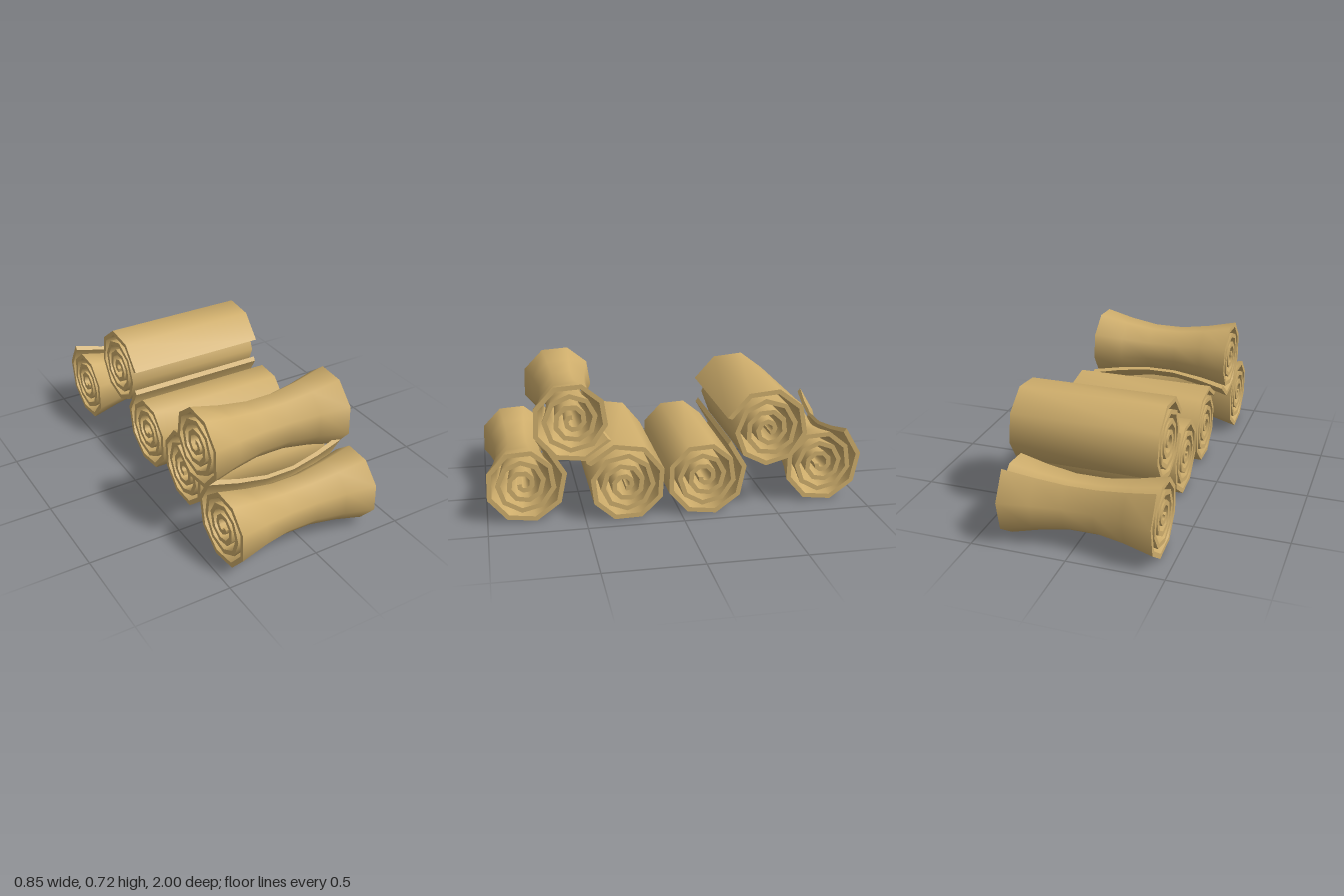
import * as THREE from 'three';
import { mergeGeometries } from 'three/addons/utils/BufferGeometryUtils.js';

const STEPS = 31;            // flat panels along the spiral
const TURNS = 3.65;
const R_OUT = 0.235, R_IN = 0.032, WALL = 0.026;

// Smooth surface through a grid of points f(u, v)
function sheet(nu, nv, f) {
  const pos = [], idx = [];
  for (let u = 0; u < nu; u++) {
    for (let v = 0; v < nv; v++) {
      pos.push(...f(u, v));
      if (u < nu - 1 && v < nv - 1) {
        const a = u * nv + v, b = a + 1, c = a + nv, d = c + 1;
        idx.push(a, b, c, b, d, c);
      }
    }
  }
  const g = new THREE.BufferGeometry();
  g.setAttribute('position', new THREE.Float32BufferAttribute(pos, 3));
  g.setIndex(idx);
  g.computeVertexNormals();
  return g;
}

// Spiral sheet rolled around the x axis; stations are [x, scale] pairs
function rollGeometry(tailDegrees, stations) {
  const n = STEPS + 1, m = stations.length;
  const point = (i, j, inset) => {
    const t = i / STEPS;
    const a = THREE.MathUtils.degToRad(tailDegrees - t * TURNS * 360);
    const [x, s] = stations[j];
    const r = (R_OUT + (R_IN - R_OUT) * t - inset) * s;
    return [x, r * Math.sin(a), -r * Math.cos(a)];
  };
  return mergeGeometries([
    sheet(n, m, (u, v) => point(u, v, 0)),                        // outer skin
    sheet(n, m, (u, v) => point(u, m - 1 - v, WALL)),             // inner skin
    sheet(n, 2, (u, v) => point(u, m - 1, v * WALL)),             // left end
    sheet(n, 2, (u, v) => point(u, 0, (1 - v) * WALL)),           // right end
    sheet(2, m, (u, v) => point(0, v, (1 - u) * WALL)),           // loose edge
    sheet(2, m, (u, v) => point(STEPS, v, u * WALL)),             // core edge
  ]);
}

export function createModel() {
  const group = new THREE.Group();
  group.name = 'rolledSheets';
  const tan = new THREE.MeshStandardMaterial({ color: 0xcfae6c });
  tan.name = 'tan';

  const straight = [[-0.39, 1], [0.39, 1]];
  const waisted = [[-0.39, 1], [-0.235, 0.82], [-0.08, 0.7], [0.08, 0.7], [0.235, 0.82], [0.39, 1]];

  // name, stations, x, y, z, angle of the loose edge
  const rolls = [
    ['frontLowerRoll', waisted, -0.037, 0.205, 0.81, 54],
    ['frontUpperRoll', waisted, -0.037, 0.528, 0.55, -31],
    ['middleFrontRoll', straight, 0.035, 0.192, 0.295, 147],
    ['middleBackRoll', straight, 0.035, 0.205, -0.12, 54],
    ['backUpperRoll', straight, 0.035, 0.44, -0.46, 161],
    ['backLowerRoll', waisted, -0.037, 0.205, -0.775, 54],
  ];
  for (const [name, stations, x, y, z, tail] of rolls) {
    const roll = new THREE.Mesh(rollGeometry(tail, stations), tan);
    roll.name = name;
    roll.position.set(x, y, z);
    group.add(roll);
  }
  return group;
}
